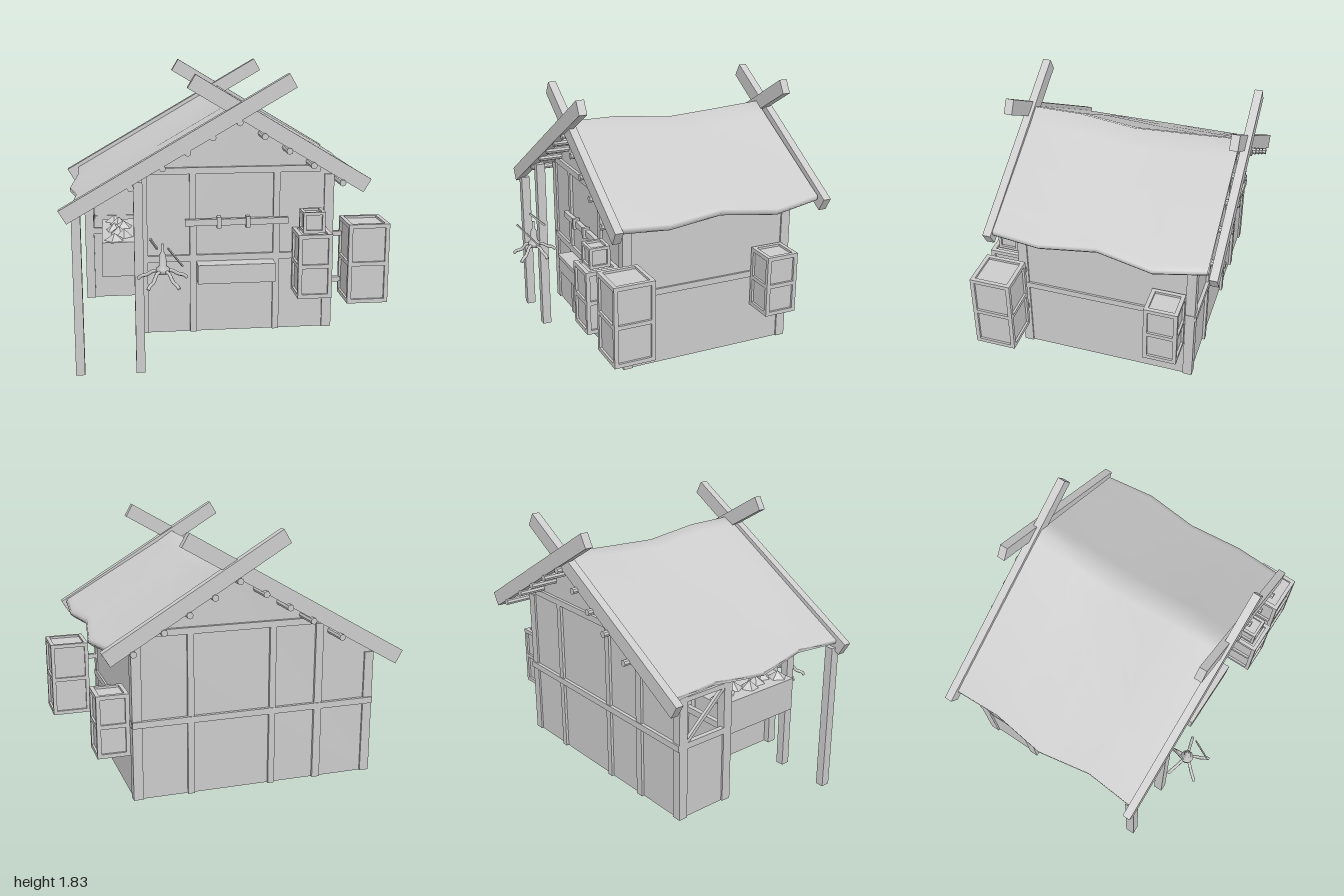
import * as THREE from 'three';

const mat = new THREE.MeshStandardMaterial({ color: 0xcccccc, side: THREE.DoubleSide });
const flat = new THREE.MeshStandardMaterial({ color: 0xcccccc, side: THREE.DoubleSide, flatShading: true });

function add(parent, name, geo, material = flat) {
  const m = new THREE.Mesh(geo, material);
  m.name = name;
  parent.add(m);
  return m;
}

// box given by its min and max corners
function box(parent, name, x0, x1, y0, y1, z0, z1) {
  const m = add(parent, name, new THREE.BoxGeometry(x1 - x0, y1 - y0, z1 - z0));
  m.position.set((x0 + x1) / 2, (y0 + y1) / 2, (z0 + z1) / 2);
  return m;
}

// square bar between two points
function bar(parent, name, a, b, w, d = w) {
  const p = new THREE.Vector3(...a), q = new THREE.Vector3(...b);
  const m = add(parent, name, new THREE.BoxGeometry(w, d, p.distanceTo(q)));
  m.position.copy(p).add(q).multiplyScalar(0.5);
  m.lookAt(q);
  return m;
}

// underside of the roof at x
const under = x => (x < 0.09 ? 1.51 + 0.577 * x : 1.562 - 0.6 * (x - 0.09));

// gable wall following the roof
function gable(parent, name, x0, x1, z) {
  const s = new THREE.Shape([[x0, 0.21], [x1, 0.21], [x1, under(x1)], [0.09, 1.562], [x0, under(x0)]]
    .map(p => new THREE.Vector2(...p)));
  add(parent, name, new THREE.ShapeGeometry(s)).position.z = z;
}

// plain wall panel between two floor points
function panel(parent, name, x0, z0, x1, z1, y1) {
  const m = add(parent, name, new THREE.PlaneGeometry(Math.hypot(x1 - x0, z1 - z0), y1 - 0.21));
  m.position.set((x0 + x1) / 2, (y1 + 0.21) / 2, (z0 + z1) / 2);
  m.rotation.y = Math.atan2(z0 - z1, x1 - x0);
}

// framed crate with inset panels
function crate(parent, name, x0, x1, y0, y1, z0, z1, rows = 2, t = 0.025) {
  const g = new THREE.Group();
  g.name = name;
  parent.add(g);
  const i = 0.014;
  box(g, 'crateCore', x0 + i, x1 - i, y0 + i, y1 - i, z0 + i, z1 - i);
  for (const x of [x0, x1 - t]) for (const z of [z0, z1 - t]) box(g, 'crateUpright', x, x + t, y0, y1, z, z + t);
  for (let r = 0; r <= rows; r++) {
    const y = y0 + (y1 - y0 - t) * r / rows;
    for (const z of [z0, z1 - t]) box(g, 'crateRail', x0 + t, x1 - t, y, y + t, z, z + t);
    for (const x of [x0, x1 - t]) box(g, 'crateRail', x, x + t, y, y + t, z0 + t, z1 - t);
  }
}

// cloth roof: a closed cross-section swept through five stations along z
function roofCloth(parent) {
  const stations = [ // z, left edge x, right edge x, ridge y
    [-0.76, -0.92, 0.84, 1.64], [-0.45, -0.91, 0.89, 1.62], [-0.1, -0.955, 0.835, 1.6],
    [0.25, -0.9, 0.875, 1.64], [0.57, -0.925, 0.85, 1.64]];
  const pos = [], idx = [];
  let n = 0;
  for (const [z, xl, xr, ry] of stations) {
    const d = ry - 1.64;
    const L = x => 1.587 + 0.577 * x, R = x => 1.638 - 0.575 * (x - 0.09);
    const top = [[xl, L(xl)], [-0.65, L(-0.65) + d / 3], [-0.4, L(-0.4) + d / 2], [-0.1, L(-0.1) + d], [0.03, L(0.03) + d],
      [0.1, ry], [0.2, R(0.2) + d], [0.45, R(0.45) + d / 2], [0.7, R(0.7) + d / 3], [xr - 0.03, R(xr - 0.03)]];
    const curl = [[xr, R(xr) + 0.002], [xr + 0.005, R(xr) - 0.02], [xr - 0.012, R(xr) - 0.038], [xr - 0.035, R(xr) - 0.025]];
    const low = top.slice(0, -1).reverse().map(([x, y]) => [x, y - 0.025]);
    const ring = [...top, ...curl, ...low];
    n = ring.length;
    ring.forEach(([x, y]) => pos.push(x, y, z));
  }
  for (let s = 0; s < stations.length - 1; s++) for (let k = 0; k < n; k++) {
    const a = s * n + k, b = s * n + (k + 1) % n;
    idx.push(a, a + n, b, b, a + n, b + n);
  }
  const g = new THREE.BufferGeometry();
  g.setAttribute('position', new THREE.Float32BufferAttribute(pos, 3));
  g.setIndex(idx);
  g.computeVertexNormals();
  add(parent, 'roofCloth', g, mat);
}

// hanging iron claw with curved prongs and a hooked rod
function claw(parent) {
  const g = new THREE.Group();
  g.name = 'hangingClaw';
  g.position.set(-0.39, 0.66, 0.67);
  parent.add(g);
  const profile = [[0, -0.01], [0.04, 0], [0.042, 0.03], [0.024, 0.045], [0.022, 0.11], [0.01, 0.13], [0.008, 0.18], [0, 0.18]];
  add(g, 'clawBody', new THREE.LatheGeometry(profile.map(p => new THREE.Vector2(...p)), 10), mat);
  for (let i = 0; i < 5; i++) {
    const a = 0.96 + i * Math.PI * 2 / 5, c = Math.cos(a), s = Math.sin(a);
    const drop = 0.025 * Math.max(0, s);
    const pts = [[0.02, 0.015], [0.06, 0.01], [0.1, -0.015 - drop], [0.135, -0.025 - drop], [0.155, -0.045 - drop]];
    const curve = new THREE.CatmullRomCurve3(pts.map(([r, y]) => new THREE.Vector3(r * c, y, r * s * 0.95)));
    add(g, 'clawProng', new THREE.TubeGeometry(curve, 8, 0.011, 6), mat);
  }
  bar(g, 'clawRod', [0, 0.175, 0.01], [0.145, 0.05, 0.11], 0.009);
  bar(g, 'clawHanger', [0, 0.17, 0], [-0.1, 0.17, -0.09], 0.012);
}

export function createModel() {
  const model = new THREE.Group();
  const X0 = -0.87, XN = -0.5, X1 = 0.69, ZB = -0.67, ZN = -0.28, ZF = 0.47;

  // L-shaped walls, open beneath
  gable(model, 'frontWall', XN, X1, ZF - 0.012);
  gable(model, 'backWall', X0, X1, ZB + 0.012);
  panel(model, 'rightSideWall', X1 - 0.01, ZF, X1 - 0.01, ZB, 1.2);
  panel(model, 'porchWall', XN + 0.01, ZN, XN + 0.01, ZF, 1.22);
  panel(model, 'porchLowWall', X0, ZN - 0.012, XN, ZN - 0.012, 0.7);
  panel(model, 'sideLowWall', X0 + 0.012, ZB, X0 + 0.012, ZN, 0.7);

  // corner posts
  for (const [x, z] of [[X1 - 0.06, ZF - 0.06], [X1 - 0.06, ZB], [XN - 0.03, ZF - 0.06], [X0, ZB], [X0, ZN - 0.05], [XN - 0.01, ZN - 0.05]])
    box(model, 'cornerPost', x, x + 0.06, 0.21, under(x < 0 ? x : x + 0.06), z, z + 0.06);

  // wall battens
  for (const x of [-0.21, 0.31]) {
    box(model, 'frontBatten', x, x + 0.04, 0.21, 1.24, ZF - 0.02, ZF + 0.005);
    box(model, 'backBatten', x, x + 0.04, 0.21, 1.24, ZB - 0.005, ZB + 0.02);
  }
  box(model, 'backBatten', -0.52, -0.47, 0.21, 1.22, ZB - 0.005, ZB + 0.02);
  box(model, 'frontRail', XN, X1, 0.67, 0.71, ZF - 0.02, ZF + 0.005);
  box(model, 'backRail', X0, X1, 0.67, 0.71, ZB - 0.01, ZB + 0.02);
  box(model, 'frontGableRail', -0.45, 0.6, 1.22, 1.26, ZF - 0.02, ZF + 0.008);
  box(model, 'backGableRail', -0.45, 0.6, 1.22, 1.26, ZB - 0.008, ZB + 0.02);
  box(model, 'sideRail', X1 - 0.02, X1 + 0.003, 0.67, 0.71, ZB, ZF);
  box(model, 'porchRail', X0, XN, 0.67, 0.71, ZN - 0.03, ZN);
  box(model, 'porchSideRail', X0, X0 + 0.03, 0.67, 0.71, ZB, ZN);
  box(model, 'porchSideTopRail', X0, X0 + 0.03, 0.97, 1.0, ZB, ZN);
  bar(model, 'porchBrace', [X0 + 0.015, 0.7, ZB + 0.05], [X0 + 0.015, 0.98, ZN - 0.04], 0.022);

  // front hanging rail, its brackets and the shelf box
  box(model, 'hangingRail', -0.24, 0.4, 0.9, 0.94, ZF, ZF + 0.03);
  for (const x of [-0.045, 0.135]) box(model, 'railBracket', x, x + 0.025, 0.885, 0.955, ZF, ZF + 0.045);
  box(model, 'shelfBox', -0.17, 0.31, 0.55, 0.66, ZF, ZF + 0.1);
  box(model, 'shelfLip', -0.17, 0.31, 0.645, 0.67, ZF, ZF + 0.105);

  // porch posts
  box(model, 'porchPost', -0.925, -0.87, 0, 1.0, 0.535, 0.595);
  box(model, 'porchPost', -0.555, -0.5, 0, 1.2, 0.535, 0.595);

  // crossed roof beams at both gables
  const beams = (zl, zr) => {
    bar(model, 'roofBeamLong', [-0.975, 1.0, zl], [0.395, 1.79, zl], 0.05, 0.093);
    bar(model, 'roofBeamShort', [-0.205, 1.79, zr], [0.865, 1.148, zr], 0.05, 0.093);
  };
  beams(0.59, 0.57);
  beams(-0.777, -0.802);

  // round purlins
  const purlins = [[-0.57, 1.165], [-0.38, 1.28], [-0.23, 1.37], [-0.08, 1.46], [0.08, 1.545], [0.23, 1.46], [0.38, 1.37], [0.53, 1.28], [0.71, 1.17]];
  for (const [x, y] of purlins) {
    const p = add(model, 'purlin', new THREE.CylinderGeometry(0.02, 0.02, 1.445, 8));
    p.rotation.x = Math.PI / 2;
    p.position.set(x, y, -0.1125);
  }
  roofCloth(model);

  // crates
  crate(model, 'largeCrate', 0.745, 1.0, 0.42, 0.92, 0.4, 0.655);
  crate(model, 'frontCrate', 0.43, 0.64, 0.47, 0.87, 0.47, 0.68);
  crate(model, 'smallCrate', 0.465, 0.6, 0.87, 1.0, 0.51, 0.64, 1, 0.018);
  crate(model, 'sideCrate', 0.69, 0.89, 0.48, 0.87, -0.61, -0.4);
  for (const y of [0.5, 0.8]) box(model, 'crateBracket', 0.67, 0.75, y, y + 0.03, 0.42, 0.45);

  // porch trough filled with ragged hay
  box(model, 'trough', -0.75, -0.51, 0.56, 0.78, -0.24, 0.38);
  for (let i = 0; i < 7; i++) {
    const h = add(model, 'hayTuft', new THREE.ConeGeometry(0.07, 0.05 + 0.012 * (i % 2), 5));
    h.position.set(-0.64 + 0.03 * (i % 3 - 1), 0.8, -0.18 + i * 0.083);
    h.rotation.y = i;
  }

  claw(model);
  return model;
}
